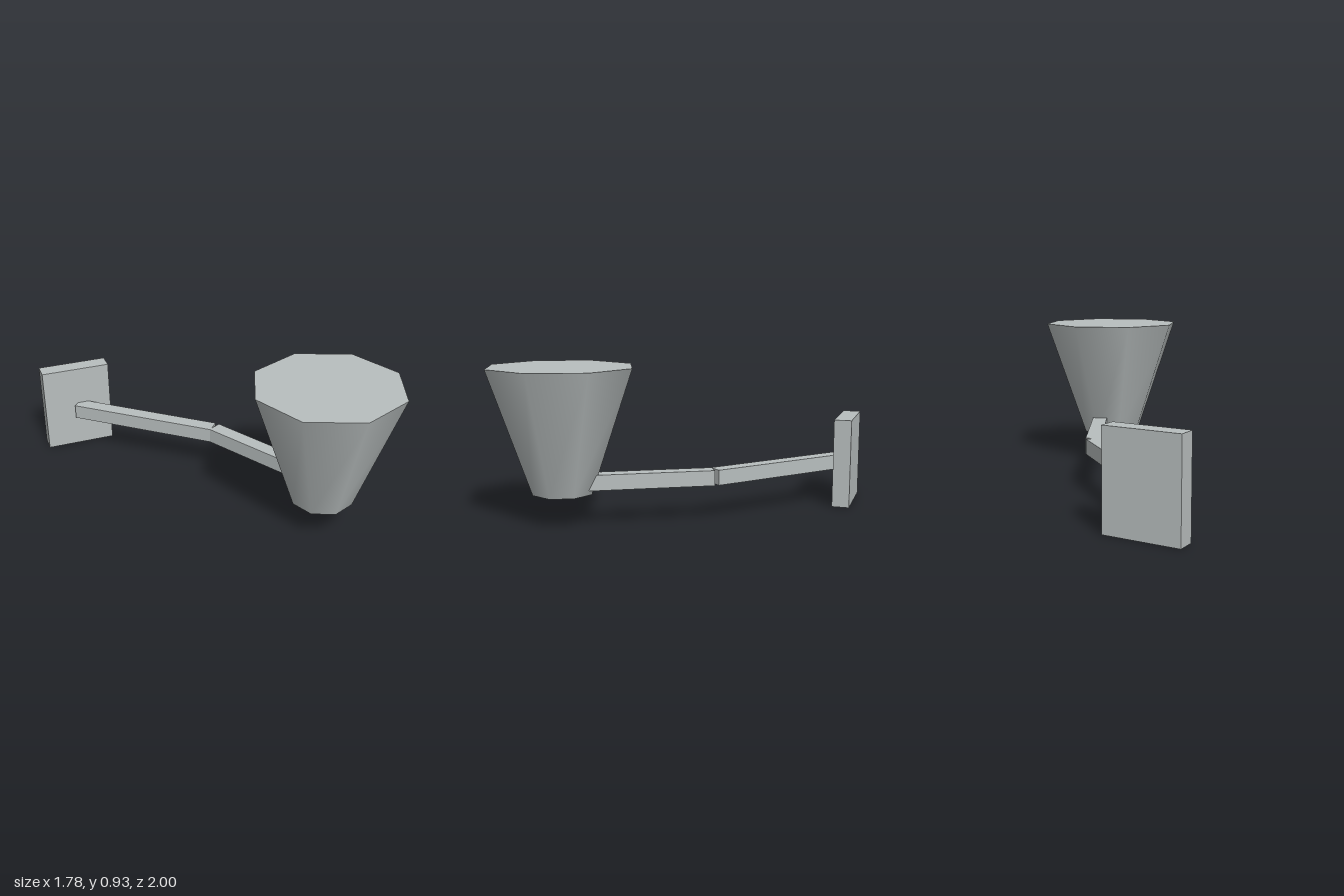
import * as THREE from 'three';

export function createModel() {
  const group = new THREE.Group();
  const grey = new THREE.MeshStandardMaterial({ color: 0xb8bebe });
  grey.name = 'light grey';

  const add = (name, geometry, x, y, z) => {
    const mesh = new THREE.Mesh(geometry, grey);
    mesh.name = name;
    mesh.position.set(x, y, z);
    group.add(mesh);
    return mesh;
  };

  // Horizontal square bar between two [x, z] points
  const bar = (name, [x0, z0], [x1, z1]) => {
    const dx = x1 - x0, dz = z1 - z0;
    const geometry = new THREE.BoxGeometry(0.092, 0.092, Math.hypot(dx, dz));
    add(name, geometry, (x0 + x1) / 2, 0.261, (z0 + z1) / 2).rotation.y = Math.atan2(dx, dz);
  };

  // Wall plate
  add('wallPlate', new THREE.BoxGeometry(0.443, 0.557, 0.108), -0.667, 0.2785, -0.946);

  // Bent arm
  bar('rearArm', [-0.667, -0.892], [0.071, -0.264]);
  bar('frontArm', [0.077, -0.257], [0.44, 0.4]);

  // Eight-sided tapered shade, closed at both ends
  add('lampShade', new THREE.CylinderGeometry(0.443, 0.185, 0.742, 8), 0.444, 0.558, 0.557);

  return group;
}
